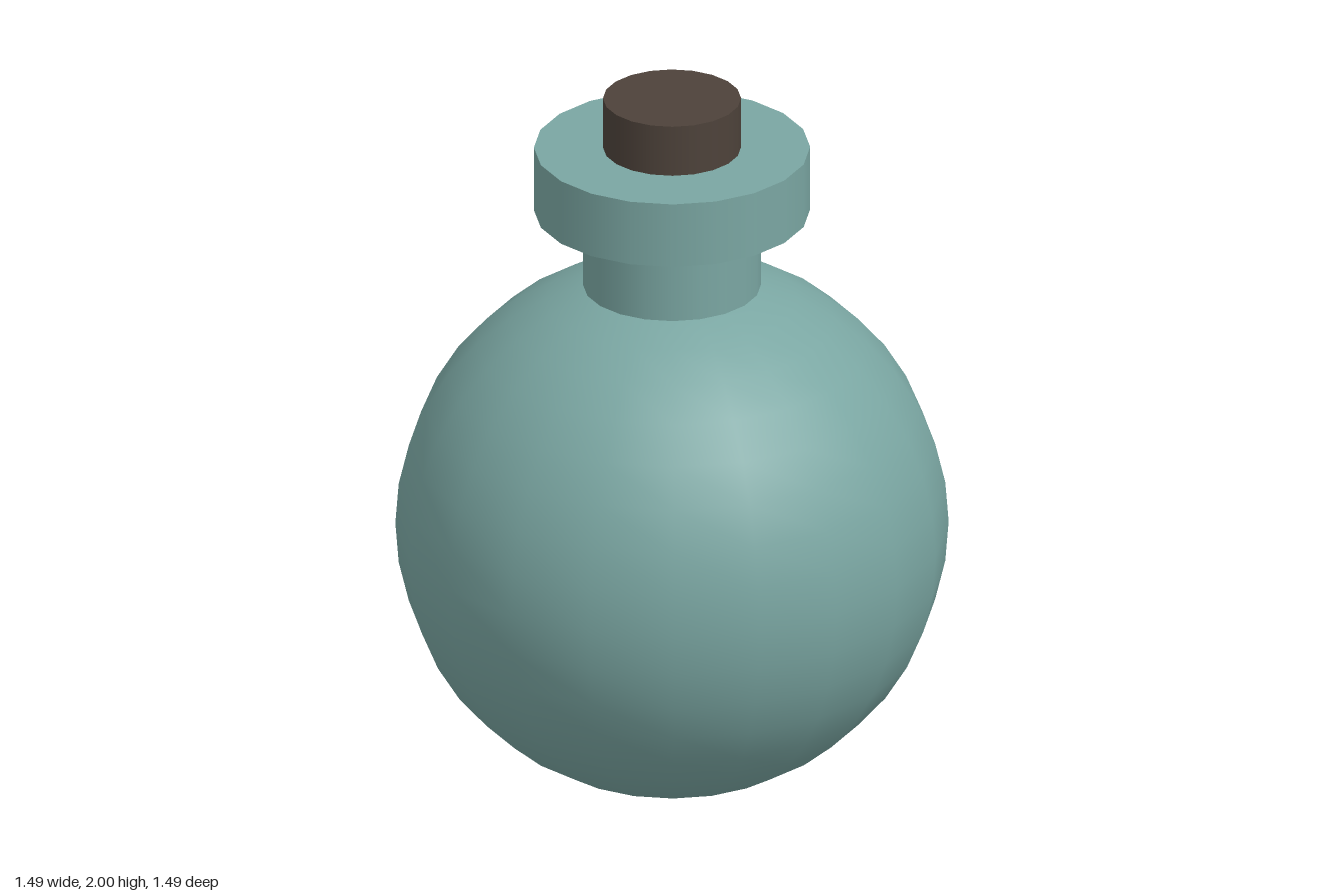
import * as THREE from 'three';

const SIDES = 20;

export function createModel() {
  const flask = new THREE.Group();
  flask.name = 'flask';
  const glass = new THREE.MeshStandardMaterial({ color: 0x7aa6a2 });
  const cork = new THREE.MeshStandardMaterial({ color: 0x4d423a });

  const add = (name, geometry, material, y) => {
    const mesh = new THREE.Mesh(geometry, material);
    mesh.name = name;
    mesh.position.y = y;
    flask.add(mesh);
  };
  // Upright cylinder between two heights
  const addCylinder = (name, radius, bottom, top, material) =>
    add(name, new THREE.CylinderGeometry(radius, radius, top - bottom, SIDES), material, (bottom + top) / 2);

  // Round body, with the neck sunk slightly into it
  add('body', new THREE.SphereGeometry(0.745, SIDES, SIDES), glass, 0.745);
  addCylinder('neck', 0.24, 1.4, 1.69, glass);
  addCylinder('rim', 0.372, 1.67, 1.855, glass);

  // Stopper standing out of the rim
  addCylinder('stopper', 0.186, 1.75, 2, cork);

  return flask;
}
